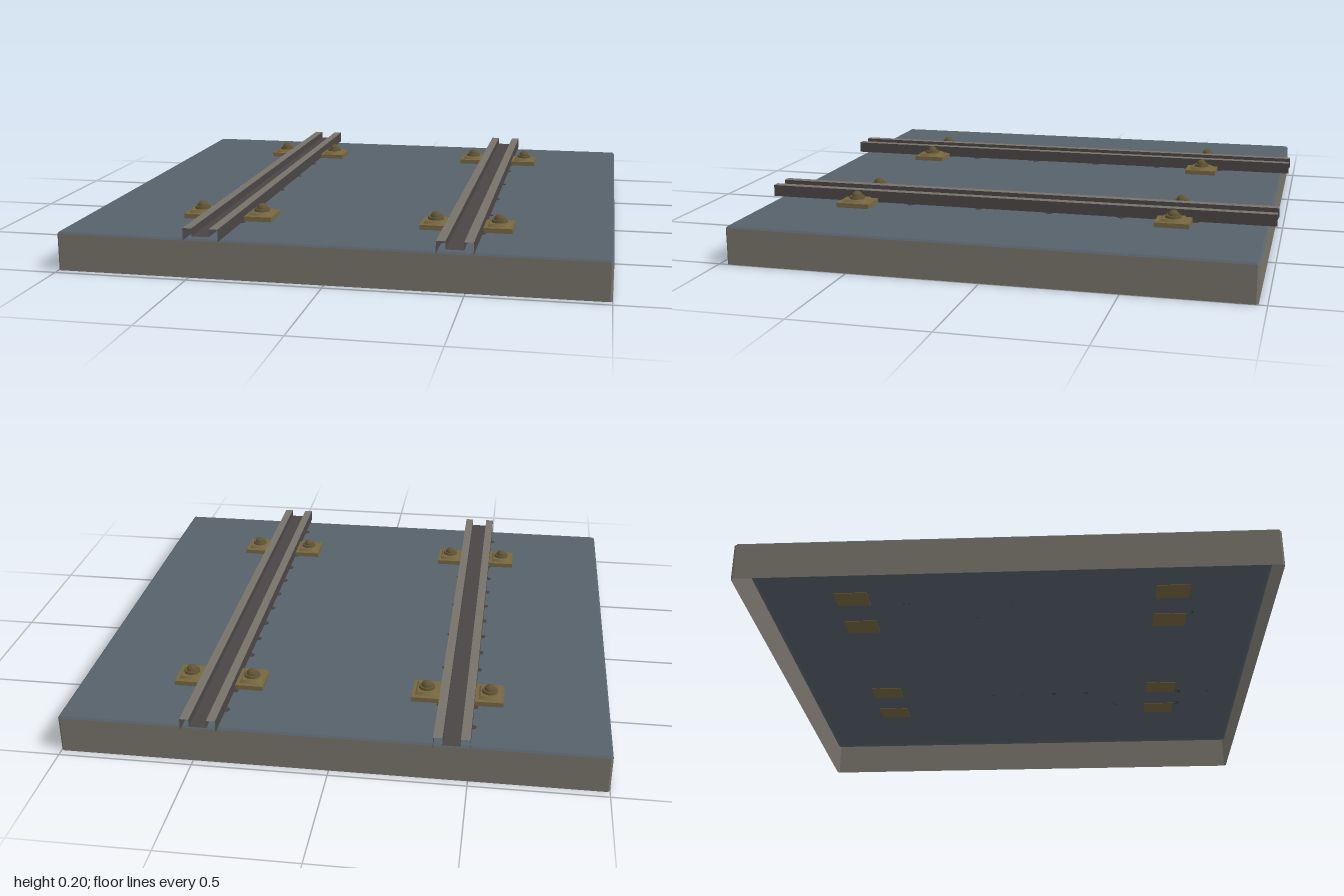
import * as THREE from 'three';

const mat = (name, color) => {
  const m = new THREE.MeshStandardMaterial({ color, side: THREE.DoubleSide });
  m.name = name;
  return m;
};

export function createModel() {
  const group = new THREE.Group();
  group.name = 'railTrackSlab';
  const slate = mat('slate top', 0x56616a);
  const concrete = mat('concrete side', 0x77736a);
  const steel = mat('dark steel', 0x4b4646);
  const worn = mat('worn rail rim', 0x787269);
  const brass = mat('clamp brass', 0x776740);
  const bolt = mat('bolt', 0x615536);
  const rust = mat('rust stain', 0x4a403c);

  const add = (parent, name, geo, material, x = 0, y = 0, z = 0) => {
    const m = new THREE.Mesh(geo, material);
    m.name = name;
    m.position.set(x, y, z);
    parent.add(m);
    return m;
  };

  // Rectangle outline with small cut corners, at height y
  const ring = (hx, hz, c, y) => [
    [hx, hz - c], [hx - c, hz], [c - hx, hz], [-hx, hz - c],
    [-hx, c - hz], [c - hx, -hz], [hx - c, -hz], [hx, c - hz],
  ].map(([x, z]) => [x, y, z]);

  // Flat-shaded band joining two outlines (closed or open)
  const band = (a, b, closed = true) => {
    const pos = [];
    const n = closed ? a.length : a.length - 1;
    for (let i = 0; i < n; i++) {
      const j = (i + 1) % a.length;
      pos.push(...a[i], ...b[j], ...a[j], ...a[i], ...b[i], ...b[j]);
    }
    const g = new THREE.BufferGeometry();
    g.setAttribute('position', new THREE.Float32BufferAttribute(pos, 3));
    g.computeVertexNormals();
    return g;
  };

  // Hollow slab, open underneath
  const foot = ring(1, 0.97, 0.008, 0);
  const shoulder = ring(1, 0.97, 0.008, 0.138);
  const edge = ring(0.993, 0.963, 0.006, 0.145);
  add(group, 'slabWalls', band(shoulder, foot), concrete);
  add(group, 'slabBevel', band(edge, shoulder), slate);
  const deck = new THREE.PlaneGeometry(1.986, 1.926).rotateX(-Math.PI / 2);
  add(group, 'slabDeck', deck, slate, 0, 0.145, 0);

  // Open-ended strip along z through a list of [x, y] profile points
  const strip = (pts) => band(
    pts.map(([x, y]) => [x, y, 1]), pts.map(([x, y]) => [x, y, -1]), false);

  const stainGeo = new THREE.CylinderGeometry(0.085, 0.085, 0.002, 16);
  const spotGeo = new THREE.CylinderGeometry(0.014, 0.014, 0.002, 8);
  const plateGeo = new THREE.BoxGeometry(0.106, 0.02, 0.13);
  const stepGeo = new THREE.CylinderGeometry(0.048, 0.058, 0.01, 4, 1)
    .rotateY(Math.PI / 4).scale(1, 1, 1.15);
  const washerGeo = new THREE.CylinderGeometry(0.029, 0.031, 0.01, 16);
  const domeGeo = new THREE.SphereGeometry(0.021, 16, 8, 0, Math.PI * 2, 0, Math.PI / 2);

  for (const [side, cx] of [['right', -0.44], ['left', 0.466]]) {
    const rail = new THREE.Group();
    rail.name = side + 'Rail';
    rail.position.x = cx;
    group.add(rail);

    // Grooved rail: outer walls, groove and bright rims
    const o = 0.065, i = 0.032, top = 0.192, floor = 0.163, low = 0.147;
    for (const s of [-1, 1]) {
      add(rail, 'outerWall', strip(s < 0
        ? [[-o, low], [-o, top]] : [[o, top], [o, low]]), steel);
      add(rail, 'rim', strip(s < 0
        ? [[-o, top], [-i, top]] : [[i, top], [o, top]]), worn);
    }
    add(rail, 'groove', strip([[-i, top], [-i, floor], [i, floor], [i, top]]), steel);

    // Small rust spots peeping out beside the rail
    for (let k = -6; k <= 6; k++) {
      add(rail, 'rustSpot', spotGeo, rust, -0.066, 0.146, k * 0.14);
      if (k % 2) add(rail, 'rustSpot', spotGeo, rust, 0.062, 0.146, k * 0.14);
    }

    // Bolted clamps on both sides of the rail
    for (const z of [-0.625, 0.62]) {
      add(rail, 'rustStain', stainGeo, rust, 0, 0.147, z);
      for (const s of [-1, 1]) {
        const clamp = new THREE.Group();
        clamp.name = 'clamp';
        clamp.position.set(s * 0.118, 0, z);
        rail.add(clamp);
        add(clamp, 'clampPlate', plateGeo, brass, 0, 0.153, 0);
        add(clamp, 'clampStep', stepGeo, brass, 0, 0.168, 0);
        add(clamp, 'washer', washerGeo, bolt, 0, 0.177, 0);
        add(clamp, 'boltHead', domeGeo, bolt, 0, 0.181, 0);
      }
    }
  }
  return group;
}
